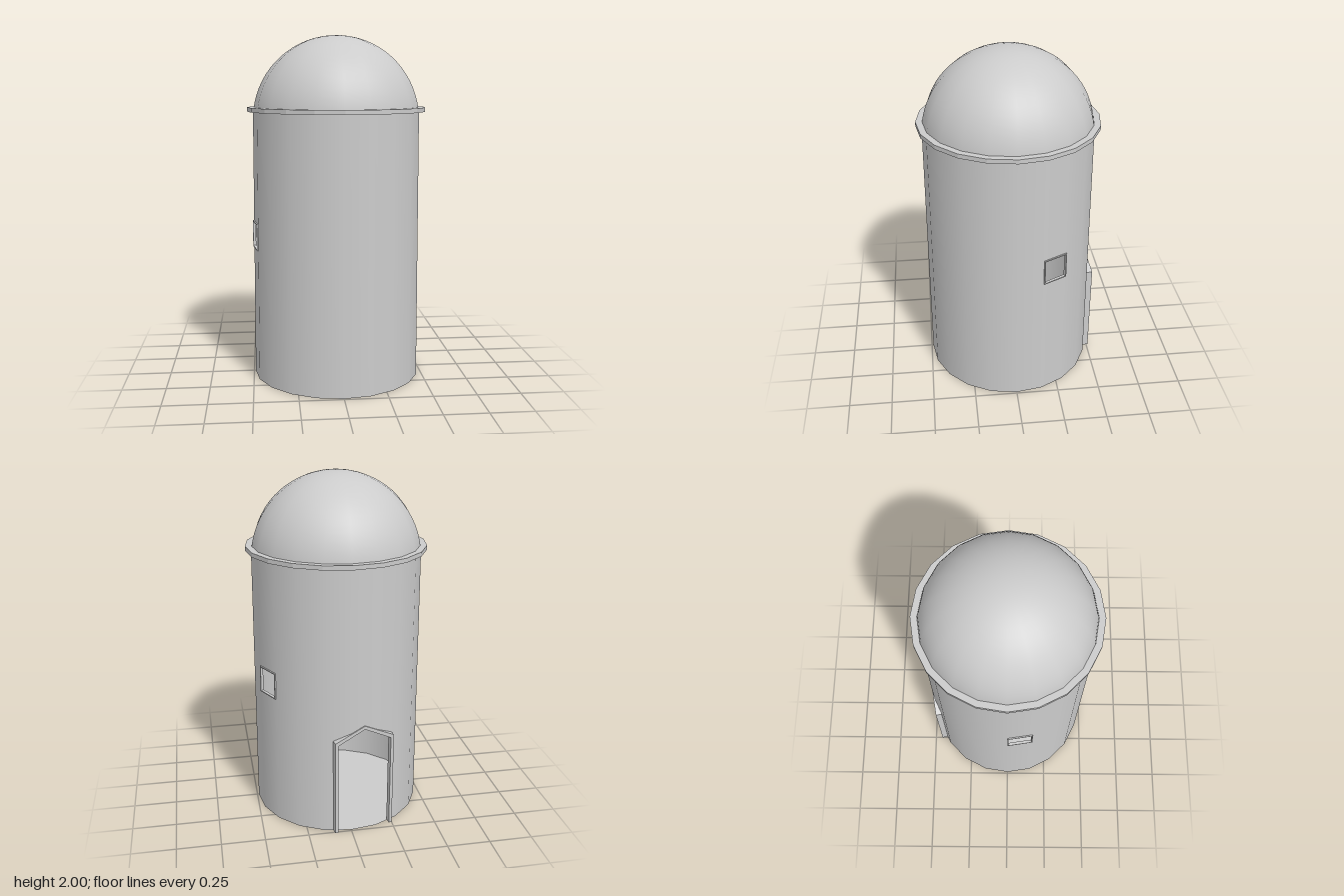
import * as THREE from 'three';

const SIDES = 20;
const STEP = 360 / SIDES;
const WALL_TOP = 1.58;
const DEG = Math.PI / 180;
const DOOR = { angle: 261, half: 0.167, eave: 0.565, peak: 0.645 };
const WINDOWS = [171, 333]; // degrees from +x towards +z
const WINDOW = { half: 0.075, low: 0.772, high: 0.928, halfAngle: 8.2 };

const material = new THREE.MeshStandardMaterial({ color: 0xcccccc, side: THREE.DoubleSide });
const flatMaterial = new THREE.MeshStandardMaterial({ color: 0xcccccc, side: THREE.DoubleSide, flatShading: true });

function addMesh(parent, name, geometry, mat = material) {
  const mesh = new THREE.Mesh(geometry, mat);
  mesh.name = name;
  parent.add(mesh);
  return mesh;
}

// Point on the slightly tapered many-sided wall
function wallPoint(angle, y) {
  const corner = THREE.MathUtils.lerp(0.491, 0.484, y / WALL_TOP);
  const offset = (angle % STEP) - STEP / 2;
  const r = corner * Math.cos(STEP / 2 * DEG) / Math.cos(offset * DEG);
  return [r * Math.cos(angle * DEG), y, r * Math.sin(angle * DEG)];
}

// Wall made of upright strips, leaving out the doorway and the windows
function wallGeometry() {
  const doorHalfAngle = Math.asin(DOOR.half / 0.489) / DEG;
  const angles = [];
  for (let i = 0; i <= SIDES; i++) angles.push(i * STEP);
  angles.push(DOOR.angle - doorHalfAngle, DOOR.angle, DOOR.angle + doorHalfAngle);
  for (const a of WINDOWS) angles.push(a - WINDOW.halfAngle, a + WINDOW.halfAngle);
  angles.sort((a, b) => a - b);

  const doorTop = (a) => {
    const t = Math.abs(Math.sin((a - DOOR.angle) * DEG)) * 0.489 / DOOR.half;
    return THREE.MathUtils.lerp(DOOR.peak, DOOR.eave, Math.min(t, 1));
  };
  const positions = [], normals = [], index = [];
  const addStrip = (a0, a1, low, high) => {
    const base = positions.length / 3;
    for (const [a, y] of [[a0, low(a0)], [a0, high(a0)], [a1, high(a1)], [a1, low(a1)]]) {
      positions.push(...wallPoint(a, y));
      normals.push(Math.cos(a * DEG), 0, Math.sin(a * DEG));
    }
    index.push(base, base + 1, base + 2, base, base + 2, base + 3);
  };
  for (let i = 0; i < angles.length - 1; i++) {
    const [a0, a1] = [angles[i], angles[i + 1]];
    const mid = (a0 + a1) / 2;
    const top = () => WALL_TOP;
    const ground = () => 0;
    if (Math.abs(mid - DOOR.angle) < doorHalfAngle) {
      addStrip(a0, a1, doorTop, top);
    } else if (WINDOWS.some((a) => Math.abs(mid - a) < WINDOW.halfAngle)) {
      addStrip(a0, a1, ground, () => WINDOW.low);
      addStrip(a0, a1, () => WINDOW.high, top);
    } else {
      addStrip(a0, a1, ground, top);
    }
  }
  const geometry = new THREE.BufferGeometry();
  geometry.setAttribute('position', new THREE.Float32BufferAttribute(positions, 3));
  geometry.setAttribute('normal', new THREE.Float32BufferAttribute(normals, 3));
  geometry.setIndex(index);
  return geometry;
}

const polygon = (points) => points.map(([x, y]) => new THREE.Vector2(x, y));

// Extruded frame facing outwards at the given angle
function addFrame(parent, name, shape, angle, inner, outer) {
  const geometry = new THREE.ExtrudeGeometry(shape, { depth: outer - inner, bevelEnabled: false });
  geometry.translate(0, 0, inner);
  addMesh(parent, name, geometry).rotation.y = (90 - angle) * DEG;
}

export function createModel() {
  const tower = new THREE.Group();
  tower.name = 'domedTower';

  addMesh(tower, 'wall', wallGeometry());
  addMesh(tower, 'floor', new THREE.CircleGeometry(0.491, SIDES).rotateX(-Math.PI / 2));

  // Flat ledge under the dome
  const ledge = polygon([[0.48, 1.565], [0.517, 1.565], [0.517, 1.59], [0.48, 1.59], [0.48, 1.565]]);
  addMesh(tower, 'ledge', new THREE.LatheGeometry(ledge, SIDES), flatMaterial);

  // Dome, slightly more shallow than a hemisphere sits above the ledge
  const radius = 0.485, centre = 2 - radius;
  const dome = new THREE.SphereGeometry(radius, SIDES, 16, 0, Math.PI * 2, 0, Math.acos((1.575 - centre) / radius));
  addMesh(tower, 'dome', dome).position.y = centre;

  // Door frame with a pointed top, open at the ground
  const { half: d, eave, peak } = DOOR;
  const o = d + 0.009, i = d - 0.009;
  const doorShape = new THREE.Shape(polygon([
    [-o, 0], [-o, eave + 0.01], [0, peak + 0.012], [o, eave + 0.01], [o, 0],
    [i, 0], [i, eave - 0.006], [0, peak - 0.008], [-i, eave - 0.006], [-i, 0],
  ]));
  addFrame(tower, 'doorFrame', doorShape, DOOR.angle, 0.452, 0.489);

  // Thin window frames
  const box = (h, low, high) => polygon([[-h, low], [h, low], [h, high], [-h, high]]);
  for (const angle of WINDOWS) {
    const shape = new THREE.Shape(box(WINDOW.half, WINDOW.low, WINDOW.high));
    shape.holes.push(new THREE.Path(box(WINDOW.half - 0.006, WINDOW.low + 0.006, WINDOW.high - 0.006)));
    addFrame(tower, 'windowFrame', shape, angle, 0.472, 0.489);
  }
  return tower;
}
